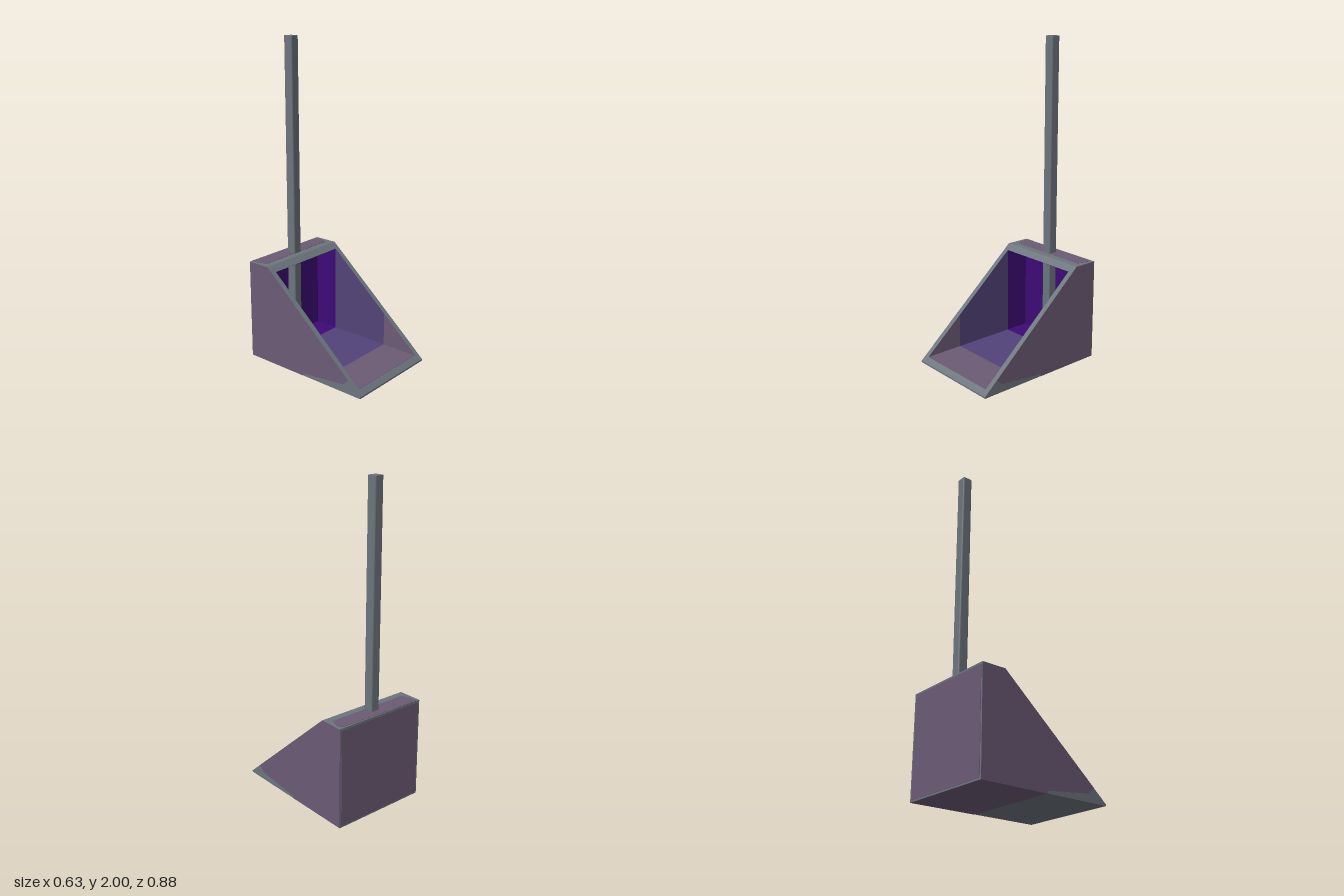
import * as THREE from 'three';

export function createModel() {
  const model = new THREE.Group();
  const paint = (name, color) => {
    const m = new THREE.MeshStandardMaterial({ color });
    m.name = name;
    return m;
  };
  const steel = paint('steel grey', 0x6c757d);
  const mauve = paint('mauve', 0x6b5b75);
  const violet = paint('violet', 0x524378);
  const purple = paint('deep purple', 0x3d0a75);

  const add = (name, geometry, material) => {
    const mesh = new THREE.Mesh(geometry, material);
    mesh.name = name;
    model.add(mesh);
    return mesh;
  };
  // Prism with a [z, y] outline, extruded across x and centred on x
  const slab = (name, material, outline, x, depth) => {
    const shape = new THREE.Shape(outline.map(([z, y]) => new THREE.Vector2(z, y)));
    const g = new THREE.ExtrudeGeometry(shape, { depth, bevelEnabled: false });
    g.translate(0, 0, -depth / 2).rotateY(-Math.PI / 2).translate(x, 0, 0);
    return add(name, g, material);
  };
  // Box given by its minimum and maximum corners
  const box = (name, material, [x0, y0, z0], [x1, y1, z1]) => {
    const g = new THREE.BoxGeometry(x1 - x0, y1 - y0, z1 - z0);
    g.translate((x0 + x1) / 2, (y0 + y1) / 2, (z0 + z1) / 2);
    return add(name, g, material);
  };

  const W = 0.315, IN = 0.283, T = 0.002;   // half width, inner half width, paint thickness
  const H = 0.635, BACK = -0.44, FRONT = 0.44;
  const FLOOR = 0.035, CEIL = 0.603, REAR = -0.41;
  const slopeY = (z) => 0.01 + (FRONT - z) * (0.625 / 0.725);

  // Floor, back and top of the pan in one bent section
  slab('panShell', steel, [
    [FRONT, 0], [FRONT, 0.01], [0.411, FLOOR], [REAR, FLOOR], [REAR, CEIL],
    [-0.248, CEIL], [-0.285, H], [BACK, H], [BACK, 0],
  ], 0, IN * 2);

  // Bands of colour inside, from the rear to the lip
  const bands = [
    ['Rear', purple, REAR, -0.248],
    ['Middle', violet, -0.248, 0.16],
    ['Front', mauve, 0.16, 0.405],
  ];

  for (const s of [-1, 1]) {
    // Sloped side wall
    slab('sideWall', steel,
      [[FRONT, 0], [FRONT, 0.01], [-0.285, H], [BACK, H], [BACK, 0]],
      s * (W + IN) / 2, W - IN);
    // Outer paint, leaving the tip bare
    slab('sidePaint', mauve, [
      [0, 0], [0, 0.015], [0.31, 0.05], [0.35, slopeY(0.35)],
      [-0.285, H - 0.002], [BACK, H - 0.002], [BACK, 0],
    ], s * W, T);
    // Inner paint
    for (const [name, material, z0, z1] of bands) {
      slab('innerSide' + name, material, [
        [z0, FLOOR], [z1, FLOOR],
        [z1, Math.min(CEIL, slopeY(z1))], [z0, Math.min(CEIL, slopeY(z0))],
      ], s * IN, T);
    }
  }

  for (const [name, material, z0, z1] of bands) {
    box('floor' + name, material, [-IN, FLOOR, z0], [IN, FLOOR + T, z1]);
  }
  box('innerBack', purple, [-IN, FLOOR, REAR], [IN, CEIL, REAR + T]);
  box('innerTop', purple, [-IN, CEIL - T, REAR], [IN, CEIL, -0.25]);

  // Outer paint on the back and the underside
  box('backPaint', mauve, [-W + 0.01, 0.01, BACK - T], [W - 0.01, H - 0.012, BACK]);
  box('bottomPaint', mauve, [-W, -T / 2, BACK], [W, T / 2, 0]);

  // Painted patch on top with cut corners
  const patch = new THREE.Shape([
    [-0.295, 0.438], [-0.05, 0.434], [0.28, 0.428], [0.296, 0.415], [0.296, 0.385],
    [0.275, 0.333], [-0.265, 0.331], [-0.28, 0.345], [-0.295, 0.395],
  ].map(([x, y]) => new THREE.Vector2(x, y)));
  const patchGeometry = new THREE.ExtrudeGeometry(patch, { depth: T, bevelEnabled: false });
  add('topPaint', patchGeometry.rotateX(-Math.PI / 2).translate(0, H, 0), mauve);

  // Square handle with softened corners, running down to the floor
  const a = 0.0315, r = 0.01;
  const section = new THREE.Shape();
  section.moveTo(-a + r, -a);
  section.absarc(a - r, -a + r, r, -Math.PI / 2, 0);
  section.absarc(a - r, a - r, r, 0, Math.PI / 2);
  section.absarc(-a + r, a - r, r, Math.PI / 2, Math.PI);
  section.absarc(-a + r, -a + r, r, Math.PI, Math.PI * 1.5);
  const handle = new THREE.ExtrudeGeometry(section, {
    depth: 2 - FLOOR, bevelEnabled: false, curveSegments: 4,
  });
  add('handle', handle.rotateX(-Math.PI / 2).translate(0, FLOOR, -0.358), steel);

  return model;
}
